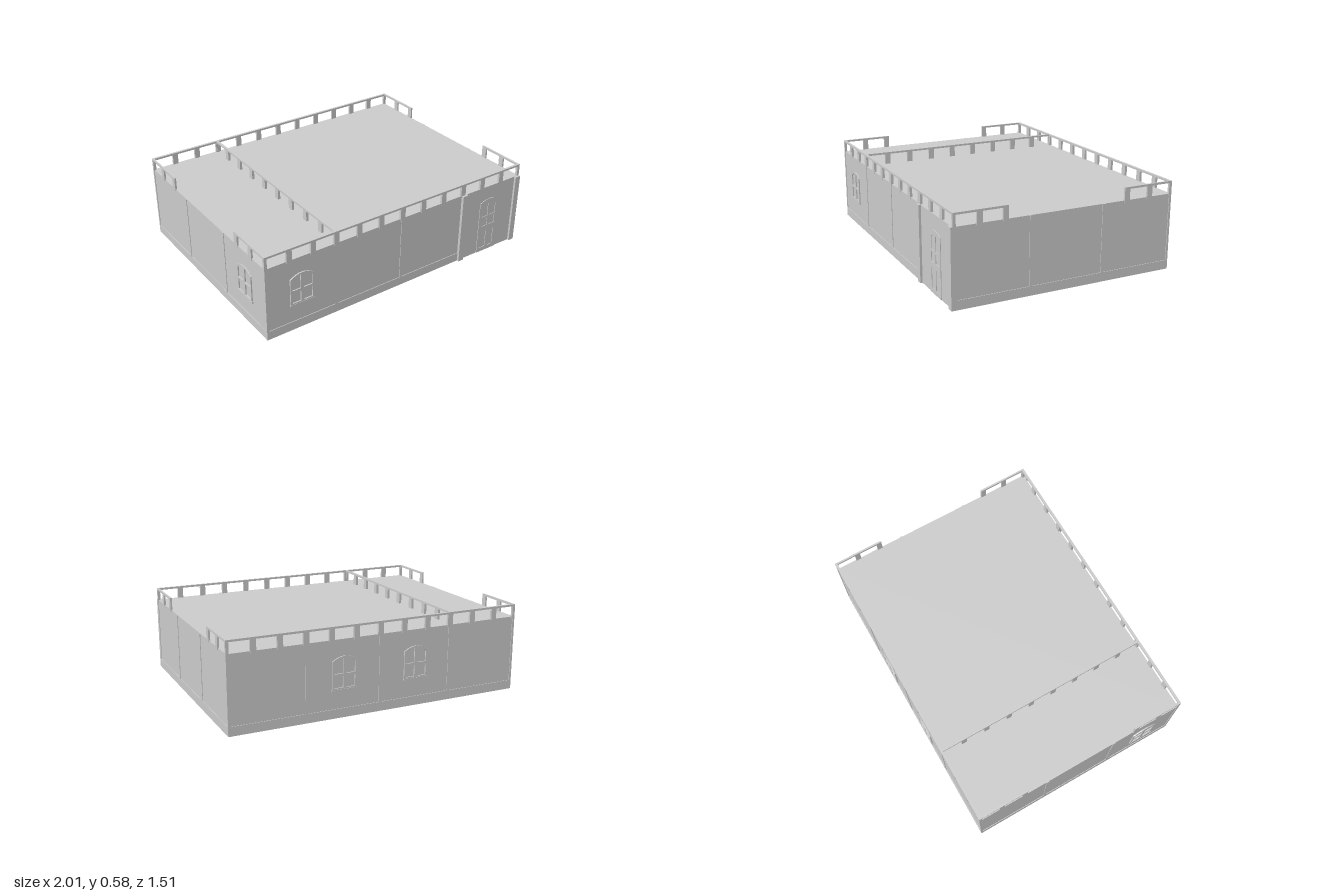
import * as THREE from 'three';

const material = new THREE.MeshStandardMaterial({ color: 0xcccccc, flatShading: true, side: THREE.DoubleSide });
const WALL_TOP = 0.5, RAIL_TOP = 0.583, SKIRT = 0.06;

// Box given by its extents on each axis
function box(parent, name, x0, x1, y0, y1, z0, z1) {
  const mesh = new THREE.Mesh(new THREE.BoxGeometry(x1 - x0, y1 - y0, z1 - z0), material);
  mesh.position.set((x0 + x1) / 2, (y0 + y1) / 2, (z0 + z1) / 2);
  mesh.name = name;
  parent.add(mesh);
  return mesh;
}

// Four-sided outline whose top edge runs from height ya at xa to yb at xb, bowed upwards
function archedPane(path, xa, xb, y0, ya, yb, bow) {
  path.moveTo(xa, y0);
  path.lineTo(xb, y0);
  path.lineTo(xb, yb);
  if (bow) path.quadraticCurveTo((xa + xb) / 2, Math.max(ya, yb) + bow, xa, ya);
  else path.lineTo(xa, ya);
  path.closePath();
  return path;
}

// Arched leaf with mirrored pane openings, used for windows and the door
function archedFrame(name, halfWidth, y0, ySide, bow, panes) {
  const shape = archedPane(new THREE.Shape(), -halfWidth, halfWidth, y0, ySide, ySide, bow);
  for (const side of [-1, 1]) {
    for (const [xIn, xOut, low, highIn, highOut] of panes) {
      shape.holes.push(archedPane(new THREE.Path(), side * xIn, side * xOut, low, highIn, highOut,
        highIn > highOut ? 0.004 : 0));
    }
  }
  const geometry = new THREE.ExtrudeGeometry(shape, { depth: 0.022, bevelEnabled: false, curveSegments: 8 });
  geometry.translate(0, 0, -0.018);
  const mesh = new THREE.Mesh(geometry, material);
  mesh.name = name;
  return mesh;
}

function makeWindow(x) {
  const group = new THREE.Group();
  group.name = 'window';
  group.add(archedFrame('windowFrame', 0.083, 0.178, 0.365, 0.06, [
    [0.01, 0.071, 0.195, 0.27, 0.27],
    [0.01, 0.071, 0.285, 0.383, 0.355],
  ]));
  box(group, 'windowSill', -0.087, 0.087, 0.174, 0.186, -0.02, 0.006);
  group.position.x = x;
  return group;
}

function makeDoor(x) {
  const door = archedFrame('door', 0.0825, 0, 0.385, 0.04, [
    [0.01, 0.056, 0.03, 0.16, 0.16],
    [0.01, 0.056, 0.2, 0.26, 0.26],
    [0.01, 0.056, 0.275, 0.372, 0.352],
  ]);
  door.position.x = x;
  return door;
}

// Open parapet along local x with evenly spaced posts
function makeRail(name, length, bays, from = 0, to = bays, thick = 0.016) {
  const rail = new THREE.Group();
  rail.name = name;
  const step = length / bays, half = length / 2, w = 0.0185;
  const clampX = (x) => Math.min(half, Math.max(-half, x));
  for (let i = from; i <= to; i++) {
    const x = -half + i * step;
    box(rail, 'railPost', clampX(x - w), clampX(x + w), WALL_TOP - 0.012, 0.572, -thick, 0);
  }
  box(rail, 'handrail', clampX(-half + from * step - w), clampX(-half + to * step + w), 0.57, RAIL_TOP, -thick, 0);
  return rail;
}

// Wall along local x, outer face at z = 0, divided into panels by pilaster strips
function makeWall(name, length, panels, plainPanel = -1) {
  const wall = new THREE.Group();
  wall.name = name;
  const half = length / 2, step = length / panels;
  box(wall, 'wallPanel', -half, half, 0, WALL_TOP, -0.011, -0.004);
  for (let i = 0; i < panels; i++) {
    const x = -half + i * step;
    if (i === plainPanel) box(wall, 'plainPanel', x, x + step, 0, WALL_TOP, -0.014, 0);
    else box(wall, 'skirting', x, x + step, 0, SKIRT, -0.015, 0);
  }
  for (let i = 0; i <= panels; i++) {
    const x = -half + i * step;
    box(wall, 'wallStrip', Math.max(-half, x - 0.01), Math.min(half, x + 0.01), 0, WALL_TOP, -0.015, 0);
  }
  return wall;
}

export function createModel() {
  const model = new THREE.Group();
  model.name = 'building';
  const depth = 1.49, zMid = -0.005;

  // Front wall with window, door and door pilasters
  const front = makeWall('frontWall', 2, 4, 3);
  front.position.z = 0.74;
  front.add(makeWindow(-0.75), makeDoor(0.744), makeRail('frontRail', 2, 12));
  for (const x of [0.49, 0.96]) box(front, 'doorPilaster', x, x + 0.04, 0, WALL_TOP, -0.02, 0.015);

  // Back wall with two windows
  const back = makeWall('backWall', 2, 4);
  back.position.z = -0.75;
  back.rotation.y = Math.PI;
  back.add(makeWindow(-0.25), makeWindow(0.25), makeRail('backRail', 2, 12));

  // Side walls, with parapets only near the corners
  for (const side of [-1, 1]) {
    const wall = makeWall(side > 0 ? 'leftWall' : 'rightWall', depth, 3);
    wall.position.set(side, 0, zMid);
    wall.rotation.y = side * Math.PI / 2;
    wall.add(makeRail('cornerRail', depth, 9, 0, 2, 0.012), makeRail('cornerRail', depth, 9, 7, 9, 0.012));
    if (side < 0) wall.add(makeWindow(0.5));
    model.add(wall);
  }

  // Flat roof and the parapet crossing it
  box(model, 'roof', -0.995, 0.995, WALL_TOP - 0.008, WALL_TOP, -0.745, 0.735);
  const divider = makeRail('dividingRail', depth, 9);
  divider.position.set(-0.497, 0, zMid);
  divider.rotation.y = Math.PI / 2;

  model.add(front, back, divider);
  return model;
}
